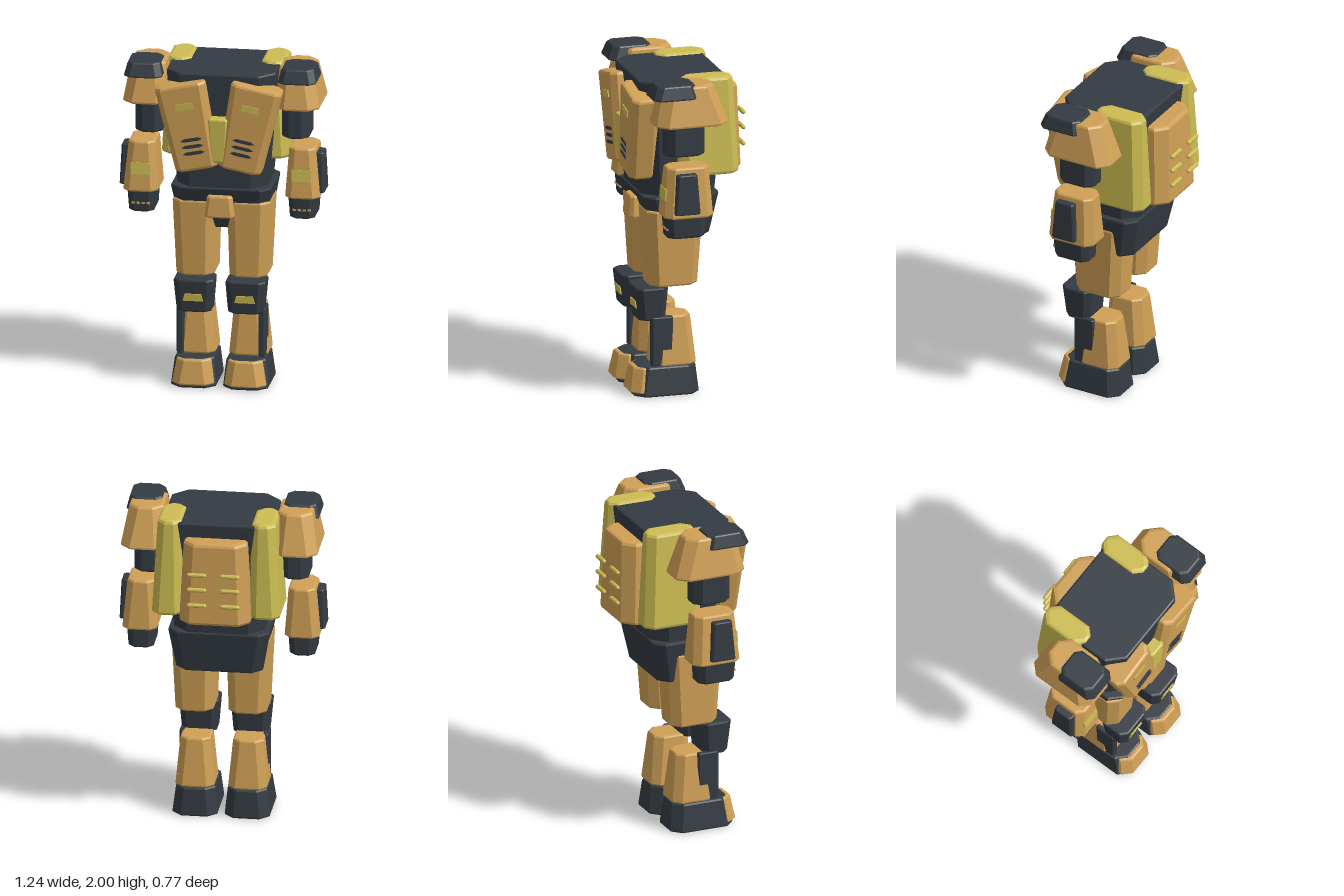
import * as THREE from 'three';

const material = (name, color) => {
  const m = new THREE.MeshStandardMaterial({ color, flatShading: true });
  m.name = name;
  return m;
};

// Tapered block with chamfered upright corners and rounded rims.
// bottom and top are [x0, x1, z0, z1].
function blockGeometry(y0, y1, bottom, top, chamfer, bevel) {
  const h = y1 - y0, b = bevel;
  const levels = [[0, b], [0.3 * b, 0.3 * b], [b, 0], [h - b, 0], [h - 0.3 * b, 0.3 * b], [h, b]];
  const pos = [], index = [];
  for (const [dy, inset] of levels) {
    const [x0, x1, z0, z1] = bottom.map((v, i) =>
      v + (top[i] - v) * dy / h + (i % 2 ? -inset : inset));
    const c = chamfer;
    const ring = [[x0 + c, z1], [x1 - c, z1], [x1, z1 - c], [x1, z0 + c],
      [x1 - c, z0], [x0 + c, z0], [x0, z0 + c], [x0, z1 - c]];
    for (const [x, z] of ring) pos.push(x, y0 + dy, z);
  }
  for (let k = 0; k < levels.length - 1; k++) {
    for (let i = 0; i < 8; i++) {
      const a = k * 8 + i, n = k * 8 + (i + 1) % 8;
      index.push(a, n, n + 8, a, n + 8, a + 8);
    }
  }
  const t = (levels.length - 1) * 8;
  for (let i = 1; i < 7; i++) index.push(t, t + i, t + i + 1, 0, i + 1, i);
  const g = new THREE.BufferGeometry();
  g.setAttribute('position', new THREE.Float32BufferAttribute(pos, 3));
  g.setIndex(index);
  const flat = g.toNonIndexed();
  flat.computeVertexNormals();
  return flat;
}

// Thin flat plate from an outline, facing +z.
function plateGeometry(points) {
  const shape = new THREE.Shape(points.map(([x, y]) => new THREE.Vector2(x, y)));
  return new THREE.ExtrudeGeometry(shape, { depth: 0.009, bevelEnabled: false }).translate(0, 0, -0.004);
}

const trapezoid = (wBottom, wTop, h) => plateGeometry([
  [-wBottom / 2, -h / 2], [wBottom / 2, -h / 2], [wTop / 2, h / 2], [-wTop / 2, h / 2]]);

export function createModel() {
  const orange = material('orange armour', 0xd0a056);
  const dark = material('dark frame', 0x343b42);
  const yellow = material('yellow trim', 0xccbc52);
  const model = new THREE.Group();
  model.name = 'robot';

  const add = (name, geometry, mat, parent = model) => {
    const mesh = new THREE.Mesh(geometry, mat);
    mesh.name = name;
    parent.add(mesh);
    return mesh;
  };
  const block = (name, mat, y0, y1, bottom, top, chamfer, bevel = 0.012, parent = model) =>
    add(name, blockGeometry(y0, y1, bottom, top, chamfer, bevel), mat, parent);

  // Body core
  block('torso', dark, 1.22, 1.96, [-0.27, 0.27, -0.18, 0.27], [-0.33, 0.33, -0.235, 0.31], 0.09);
  block('pelvis', dark, 0.97, 1.24, [-0.26, 0.26, -0.14, 0.2], [-0.305, 0.305, -0.19, 0.285], 0.06);
  block('crotchGuard', orange, 1.06, 1.195, [-0.09, 0.09, 0.18, 0.315], [-0.075, 0.075, 0.2, 0.305], 0.02);
  block('chestCentre', yellow, 1.42, 1.695, [-0.05, 0.05, 0.25, 0.36], [-0.06, 0.06, 0.25, 0.367], 0.012);

  // Backpack with two columns of vent bars
  block('backpack', orange, 1.35, 1.87, [-0.215, 0.215, -0.355, -0.12], [-0.19, 0.19, -0.337, -0.12], 0.065, 0.02);
  for (const s of [-1, 1]) {
    for (const y of [1.49, 1.59, 1.685]) {
      const bar = add('backVent', new THREE.CapsuleGeometry(0.0135, 0.092, 5, 10), yellow);
      bar.rotation.z = Math.PI / 2;
      bar.position.set(s * 0.1, y, -0.373);
    }
  }

  for (const s of [-1, 1]) {
    const side = new THREE.Group();
    side.name = s > 0 ? 'leftSide' : 'rightSide';
    model.add(side);
    // Mirrors the x range of a block for the right side
    const m = ([x0, x1, z0, z1]) => (s > 0 ? [x0, x1, z0, z1] : [-x1, -x0, z0, z1]);
    const part = (name, mat, y0, y1, bottom, top, chamfer, bevel) =>
      block(name, mat, y0, y1, m(bottom), m(top), chamfer, bevel, side);
    const detail = (name, geometry, mat, x, y, z, tilt = 0) => {
      const mesh = add(name, geometry, mat, side);
      mesh.position.set(s * x, y, z);
      mesh.rotation.x = tilt;
      return mesh;
    };

    // Tilted chest plate with lamp and vent slits
    const chest = new THREE.Group();
    chest.name = 'chestArmour';
    chest.position.set(s * 0.18, 1.635, 0);
    chest.rotation.z = -s * 0.2;
    side.add(chest);
    block('chestPlate', orange, -0.27, 0.27, [-0.13, 0.13, 0.2, 0.367], [-0.155, 0.155, 0.21, 0.382], 0.035, 0.018, chest);
    const onChest = (name, geometry, mat, y) => {
      const mesh = add(name, geometry, mat, chest);
      mesh.position.set(-s * 0.007, y, 0.3745 + y * 0.028);
      mesh.rotation.x = 0.028;
    };
    onChest('chestLamp', trapezoid(0.115, 0.1, 0.04), yellow, 0.136);
    for (const y of [-0.073, -0.115, -0.157]) {
      onChest('chestSlit', plateGeometry([[-0.067, -0.003], [-0.04, -0.011], [0.04, -0.011],
        [0.067, -0.003], [0.045, 0.009], [-0.045, 0.009]]), dark, y);
    }

    // Side pack
    part('sidePack', yellow, 1.375, 1.975, [0.2, 0.387, -0.285, 0.085], [0.21, 0.355, -0.255, 0.055], 0.045, 0.02);

    // Arm
    part('shoulder', orange, 1.74, 1.987, [0.325, 0.595, -0.165, 0.285], [0.345, 0.55, -0.08, 0.23], 0.06, 0.014);
    part('shoulderCap', dark, 1.912, 2, [0.348, 0.582, 0.025, 0.308], [0.37, 0.56, 0.045, 0.275], 0.035, 0.01);
    part('upperArm', dark, 1.545, 1.8, [0.36, 0.525, -0.03, 0.21], [0.36, 0.525, -0.03, 0.21], 0.045);
    part('forearm', orange, 1.18, 1.49, [0.383, 0.595, -0.062, 0.242], [0.405, 0.565, -0.04, 0.215], 0.04);
    part('forearmGuard', dark, 1.21, 1.457, [0.55, 0.62, 0.032, 0.192], [0.55, 0.61, 0.05, 0.172], 0.012, 0.008);
    detail('forearmLamp', trapezoid(0.12, 0.12, 0.07), yellow, 0.486, 1.325, 0.2285, -0.087);
    part('hand', dark, 1.05, 1.2, [0.41, 0.562, -0.015, 0.215], [0.4, 0.572, -0.02, 0.225], 0.035);
    for (let i = 0; i < 4; i++) {
      detail('knuckle', trapezoid(0.02, 0.02, 0.012), orange, 0.441 + i * 0.03, 1.108, 0.2175, 0.06);
    }

    // Leg
    part('thigh', orange, 0.673, 1.15, [0.045, 0.275, -0.06, 0.237], [0.035, 0.295, -0.09, 0.262], 0.05);
    part('knee', dark, 0.465, 0.672, [0.05, 0.26, 0.14, 0.305], [0.035, 0.278, 0.125, 0.325], 0.035);
    detail('kneeLamp', trapezoid(0.125, 0.1, 0.045), yellow, 0.156, 0.562, 0.3155, 0.09);
    part('shin', orange, 0.18, 0.487, [0.04, 0.277, -0.052, 0.215], [0.068, 0.25, -0.02, 0.195], 0.045);
    part('shinGuard', dark, 0.185, 0.487, [0.225, 0.268, 0.1, 0.235], [0.225, 0.268, 0.1, 0.235], 0.01, 0.008);
    part('foot', dark, 0, 0.18, [0.02, 0.295, -0.068, 0.337], [0.038, 0.273, -0.05, 0.305], 0.055);
    part('toeCap', orange, 0.022, 0.175, [0.03, 0.285, 0.2, 0.357], [0.052, 0.258, 0.2, 0.33], 0.05, 0.01);
  }
  return model;
}
